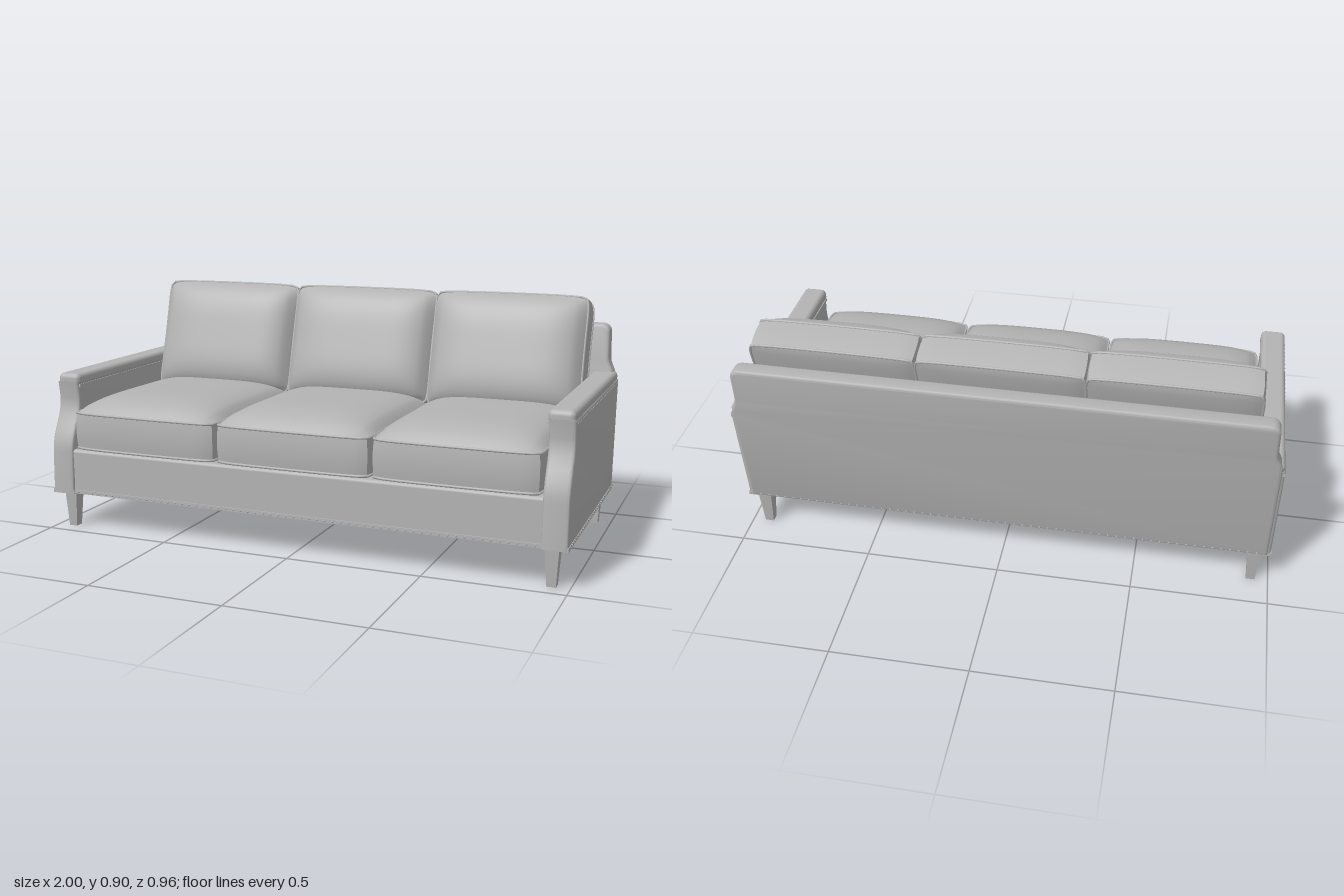
import * as THREE from 'three';
import { mergeGeometries, toCreasedNormals } from 'three/addons/utils/BufferGeometryUtils.js';
import { RoundedBoxGeometry } from 'three/addons/geometries/RoundedBoxGeometry.js';

const upholstery = new THREE.MeshStandardMaterial({ color: 0xb4b4b4 });
upholstery.name = 'grey upholstery';

function add(parent, name, geometry, x = 0, y = 0, z = 0) {
  const mesh = new THREE.Mesh(geometry, upholstery);
  mesh.name = name;
  mesh.position.set(x, y, z);
  parent.add(mesh);
  return mesh;
}

// Soft cushion facing +z: crowned faces, slightly rounded corners, welts on both seams
function makeCushion(name, w, h, t, frontCrown, backCrown) {
  const group = new THREE.Group();
  group.name = name;
  const warp = (u, v) => [
    (w / 2) * u * (1 - 0.035 * v ** 10 - 0.012 * (1 - v * v)),
    (h / 2) * v * (1 - 0.035 * u ** 10 + 0.012 * (1 - u * u)),
  ];
  const geo = new THREE.BoxGeometry(2, 2, 2, 28, 28, 6);
  const p = geo.attributes.position;
  for (let i = 0; i < p.count; i++) {
    const u = p.getX(i), v = p.getY(i), s = p.getZ(i);
    const [x, y] = warp(u, v);
    const puff = Math.max(0, (1 - u ** 4) * (1 - v ** 4)) ** 0.6;
    let z = (s * t) / 2;
    if (s > 0.999) z += frontCrown * puff * (1 - 0.1 * v);
    if (s < -0.999) z -= backCrown * puff;
    const side = 1 + 0.012 * (1 - s * s);
    p.setXYZ(i, x * side, y * side, z);
  }
  geo.computeVertexNormals();
  add(group, 'cushionBody', geo);

  const corners = [[-1, -1], [1, -1], [1, 1], [-1, 1]];
  for (const s of [-1, 1]) {
    const pts = [];
    corners.forEach((a, k) => {
      const b = corners[(k + 1) % 4];
      for (let i = 0; i < 12; i++) {
        const f = i / 12;
        const [x, y] = warp(a[0] + (b[0] - a[0]) * f, a[1] + (b[1] - a[1]) * f);
        pts.push(new THREE.Vector3(x, y, (s * t) / 2));
      }
    });
    const curve = new THREE.CatmullRomCurve3(pts, true);
    add(group, 'cushionWelt', new THREE.TubeGeometry(curve, 96, 0.005, 6, true));
  }
  return group;
}

// Row of small nail heads between two points
function nailRow(a, b, count) {
  const start = new THREE.Vector3(...a), end = new THREE.Vector3(...b);
  const heads = [];
  for (let i = 0; i < count; i++) {
    const c = start.clone().lerp(end, (i + 0.5) / count);
    heads.push(new THREE.SphereGeometry(0.004, 6, 4).translate(c.x, c.y, c.z));
  }
  return mergeGeometries(heads);
}

// Side panel with a scooped front edge, drawn in z-y and extruded across x
function armPanel() {
  const s = new THREE.Shape();
  s.moveTo(-0.385, 0.148);
  s.lineTo(0.467, 0.148);
  s.lineTo(0.463, 0.3);
  s.bezierCurveTo(0.46, 0.38, 0.402, 0.42, 0.402, 0.5);
  s.lineTo(0.41, 0.555);
  s.lineTo(-0.43, 0.555);
  const g = new THREE.ExtrudeGeometry(s, {
    depth: 0.07, bevelSize: 0.01, bevelThickness: 0.01, bevelSegments: 3, curveSegments: 14,
  });
  g.rotateY(-Math.PI / 2).translate(0.035, 0, 0);
  return toCreasedNormals(g, 0.7);
}

// Back slab, drawn in x-y, extruded in z, then leaned backwards
function backSlab() {
  const s = new THREE.Shape();
  s.moveTo(-0.972, 0.15);
  s.lineTo(0.972, 0.15);
  s.lineTo(0.972, 0.56);
  s.bezierCurveTo(0.972, 0.6, 0.948, 0.61, 0.948, 0.65);
  s.lineTo(0.945, 0.74);
  s.quadraticCurveTo(0.945, 0.763, 0.92, 0.763);
  s.lineTo(-0.92, 0.763);
  s.quadraticCurveTo(-0.945, 0.763, -0.945, 0.74);
  s.lineTo(-0.948, 0.65);
  s.bezierCurveTo(-0.948, 0.61, -0.972, 0.6, -0.972, 0.56);
  const g = new THREE.ExtrudeGeometry(s, {
    depth: 0.045, bevelSize: 0.012, bevelThickness: 0.012, bevelSegments: 3, curveSegments: 8,
  });
  const p = g.attributes.position;
  for (let i = 0; i < p.count; i++) {
    p.setZ(i, p.getZ(i) - 0.388 - 0.126 * (p.getY(i) - 0.14));
  }
  return toCreasedNormals(g, 0.7);
}

function makeLeg() {
  const g = new THREE.CylinderGeometry(0.036, 0.023, 0.15, 4);
  g.rotateY(Math.PI / 4);
  return toCreasedNormals(g, 0.5);
}

export function createModel() {
  const sofa = new THREE.Group();
  sofa.name = 'sofa';

  // Frame: recessed deck, front rail and leaning back
  add(sofa, 'deck', new THREE.BoxGeometry(1.84, 0.145, 0.82), 0, 0.2325, 0.03);
  add(sofa, 'frontRail', new RoundedBoxGeometry(1.83, 0.17, 0.06, 3, 0.012), 0, 0.225, 0.436);
  add(sofa, 'backSlab', backSlab());
  add(sofa, 'frontTrim', new THREE.BoxGeometry(1.82, 0.014, 0.008), 0, 0.147, 0.467);
  add(sofa, 'frontNails', nailRow([-0.9, 0.147, 0.471], [0.9, 0.147, 0.471], 60));
  add(sofa, 'backNails', nailRow([-0.96, 0.15, -0.402], [0.96, 0.15, -0.402], 60));

  // Arms and legs on both sides
  for (const side of [-1, 1]) {
    const arm = new THREE.Group();
    arm.name = side > 0 ? 'leftArm' : 'rightArm';
    sofa.add(arm);
    add(arm, 'armPanel', armPanel(), side * 0.949);
    add(arm, 'armCap', new RoundedBoxGeometry(0.092, 0.048, 0.862, 4, 0.019), side * 0.945, 0.571, -0.011);
    add(arm, 'capTrim', new THREE.BoxGeometry(0.094, 0.01, 0.85), side * 0.946, 0.55, -0.015);
    add(arm, 'bottomTrim', new THREE.BoxGeometry(0.094, 0.014, 0.87), side * 0.949, 0.144, 0.04);
    add(arm, 'capNails', nailRow([side * 0.993, 0.55, -0.42], [side * 0.993, 0.55, 0.4], 30));
    add(arm, 'bottomNails', nailRow([side * 0.996, 0.146, -0.38], [side * 0.996, 0.146, 0.46], 30));
    add(sofa, 'frontLeg', makeLeg(), side * 0.936, 0.075, 0.425);
    add(sofa, 'backLeg', makeLeg(), side * 0.936, 0.075, -0.365);
  }

  // Three seat cushions with matching back cushions
  for (const i of [-1, 0, 1]) {
    const seat = makeCushion('seatCushion', 0.595, 0.77, 0.135, 0.06, 0.005);
    seat.rotation.x = -Math.PI / 2;
    seat.position.set(i * 0.6, 0.387, 0.084);
    sofa.add(seat);

    const back = makeCushion('backCushion', 0.6, 0.45, 0.12, 0.085, 0.012);
    back.rotation.x = -0.28;
    back.position.set(i * 0.595, 0.656, -0.298);
    sofa.add(back);
  }
  return sofa;
}
